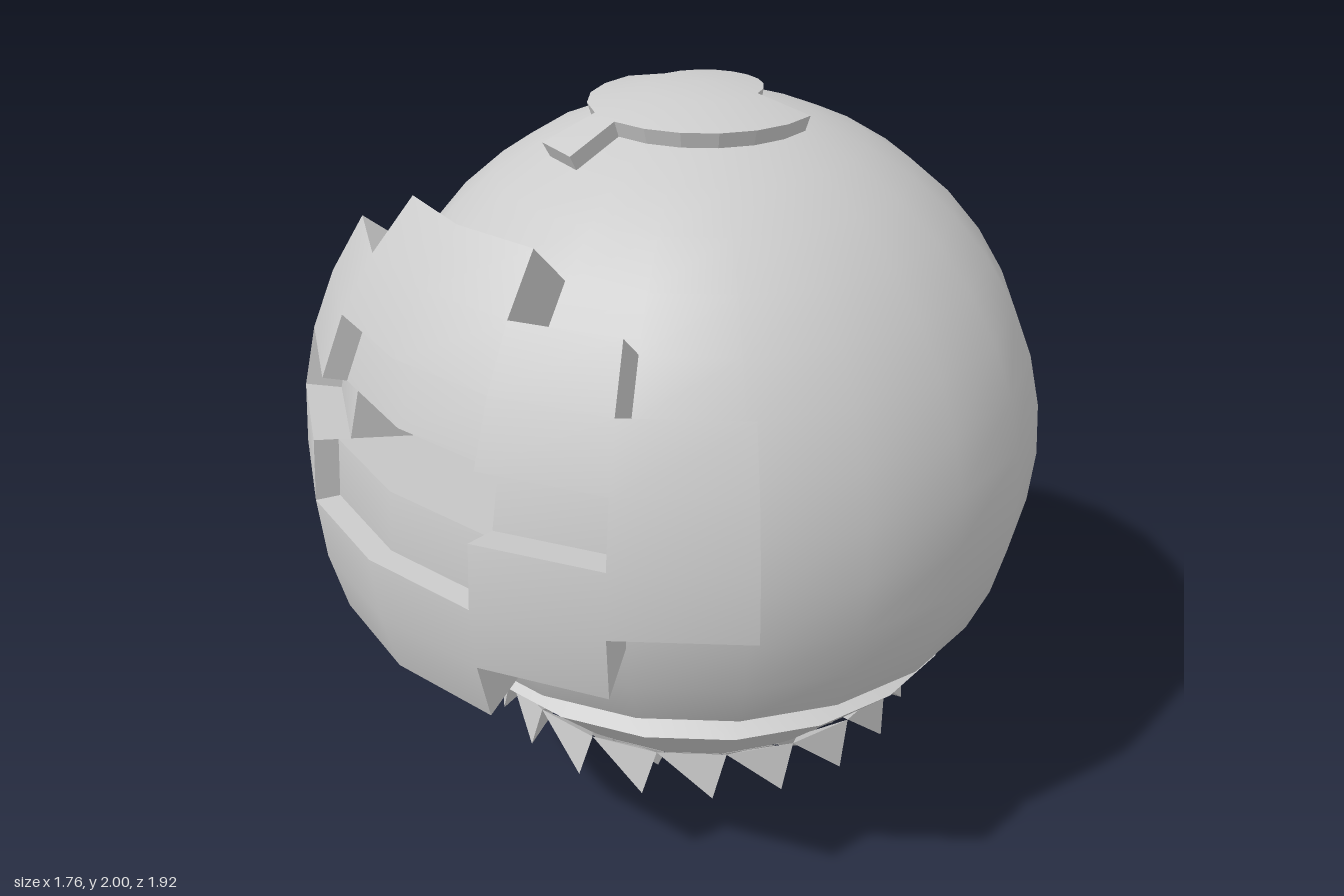
import * as THREE from 'three';
import { toCreasedNormals, mergeGeometries } from 'three/addons/utils/BufferGeometryUtils.js';
import { ConvexGeometry } from 'three/addons/geometries/ConvexGeometry.js';

const CENTRE_Y = 1.08, AXIS_Z = -0.08;
const SIDES = 20, LON = Math.PI * 2 / SIDES, LAT = Math.PI / 20;
const material = new THREE.MeshStandardMaterial({ color: 0xcccccc });

// Point on a sphere of radius r; row and column count 9 and 18 degree steps from the front
function onSphere(r, row, col) {
  const c = r * Math.cos(row * LAT);
  return new THREE.Vector3(c * Math.sin(col * LON), r * Math.sin(row * LAT), c * Math.cos(col * LON));
}

// Half width of the face plate, in columns, for each row
const plateWidth = { '-2': 1, '-1': 2, 0: 3, 1: 3, 2: 3, 3: 2, 4: 1 };

// Which part a grid cell belongs to, and how far it stands from the centre
function cell(row, col) {
  const c = col >= 0 ? col : -1 - col;
  if (c < (plateWidth[row] || 0)) {
    let radius = 1.04;
    if (row === 1 && c === 0) radius = 0.58;                      // deep opening
    else if (row === 1 && c === 1) radius = 0.95;                 // side recesses
    else if ((row === 0 || row === 2) && c === 0) radius = 0.98;  // upper and lower recesses
    return { part: 'facePlate', radius };
  }
  const cap = row === 9 || (row === 8 && col >= -5 && col <= 5) || (row === 7 && col === -1);
  return cap ? { part: 'topCap', radius: 0.92 } : { part: 'sphereBody', radius: 0.88 };
}

// Sphere, face plate and cap: raised or sunk cells joined by radial walls
function buildShell(group) {
  const parts = {};
  const quad = (name, pts, radial) => {
    const p = parts[name] ??= { pos: [], nor: [] };
    const flat = pts[2].clone().sub(pts[0]).cross(pts[3].clone().sub(pts[1])).normalize();
    for (const k of [0, 1, 2, 0, 2, 3]) {
      p.pos.push(...pts[k].toArray());
      p.nor.push(...(radial ? pts[k].clone().normalize() : flat).toArray());
    }
  };
  const wallOwner = (a, b) => (a.part === 'facePlate' || b.part === 'facePlate') ? 'facePlate' : 'topCap';

  for (let row = -3; row < 10; row++) {
    for (let col = -10; col < 10; col++) {
      const a = cell(row, col), r = a.radius;
      quad(a.part, [onSphere(r, row, col), onSphere(r, row, col + 1),
        onSphere(r, row + 1, col + 1), onSphere(r, row + 1, col)], true);

      const side = cell(row, col === 9 ? -10 : col + 1);
      if (side.radius !== r) {
        quad(wallOwner(a, side), [onSphere(r, row, col + 1), onSphere(side.radius, row, col + 1),
          onSphere(side.radius, row + 1, col + 1), onSphere(r, row + 1, col + 1)], false);
      }
      if (row === 9) continue;
      const above = cell(row + 1, col);
      if (above.radius !== r) {
        quad(wallOwner(a, above), [onSphere(r, row + 1, col), onSphere(r, row + 1, col + 1),
          onSphere(above.radius, row + 1, col + 1), onSphere(above.radius, row + 1, col)], false);
      }
    }
  }
  for (const [name, p] of Object.entries(parts)) {
    const geo = new THREE.BufferGeometry();
    geo.setAttribute('position', new THREE.Float32BufferAttribute(p.pos, 3));
    geo.setAttribute('normal', new THREE.Float32BufferAttribute(p.nor, 3));
    geo.translate(0, CENTRE_Y, 0);
    add(group, name, geo);
  }
}

function add(group, name, geo) {
  const mesh = new THREE.Mesh(geo, material);
  mesh.name = name;
  group.add(mesh);
}

const lathe = (pts) =>
  new THREE.LatheGeometry(pts.map(([r, y]) => new THREE.Vector2(r, y)), SIDES);

// Ring of four-cornered spikes; each profile point is [radius, height]
function spikeRing(base, root, tip) {
  const at = ([r, y], turn) => new THREE.Vector3(r * Math.sin(turn * LON), y, r * Math.cos(turn * LON));
  const spikes = [];
  for (let i = 0; i < SIDES; i++) {
    spikes.push(new ConvexGeometry([at(base, i), at(base, i + 1), at(root, i + 0.5), at(tip, i + 0.8)]));
  }
  return mergeGeometries(spikes);
}

export function createModel() {
  const model = new THREE.Group();
  const body = new THREE.Group();
  body.name = 'body';
  body.position.z = AXIS_Z;
  model.add(body);

  buildShell(body);

  // Underside, neck, flared collar, bowl and hollow rim
  add(body, 'collar', toCreasedNormals(lathe([
    [0, 0.22], [0.25, 0.22], [0.25, 0.19], [0.275, 0.19], [0.288, 0.24], [0.36, 0.25],
    [0.45, 0.31], [0.56, 0.41], [0.71, 0.565], [0.6, 0.63], [0.63, 0.68], [0.784, 0.68],
  ]), 0.4));

  // Two rows of teeth
  add(body, 'outerTeeth', spikeRing([0.575, 0.41], [0.47, 0.33], [0.59, 0.28]));
  add(body, 'innerTeeth', spikeRing([0.48, 0.335], [0.36, 0.25], [0.44, 0.255]));

  // Flared horn around the shaft, its lower rim tilted down toward +x
  const horn = lathe([[0.05, 0.14], [0.135, 0.1], [0.11, 0.125], [0.1, 0.155], [0.105, 0.185], [0.13, 0.22]]);
  const pos = horn.attributes.position;
  for (let i = 0; i < pos.count; i++) {
    const y = pos.getY(i);
    const tilt = 0.38 * THREE.MathUtils.clamp((0.2 - y) / 0.1, 0, 1);
    pos.setY(i, y - tilt * pos.getX(i));
  }
  add(body, 'horn', toCreasedNormals(horn, 0.8));

  const shaft = new THREE.CylinderGeometry(0.056, 0.056, 0.24, SIDES);
  shaft.translate(0, 0.12, 0);
  add(body, 'shaft', shaft);

  return model;
}
